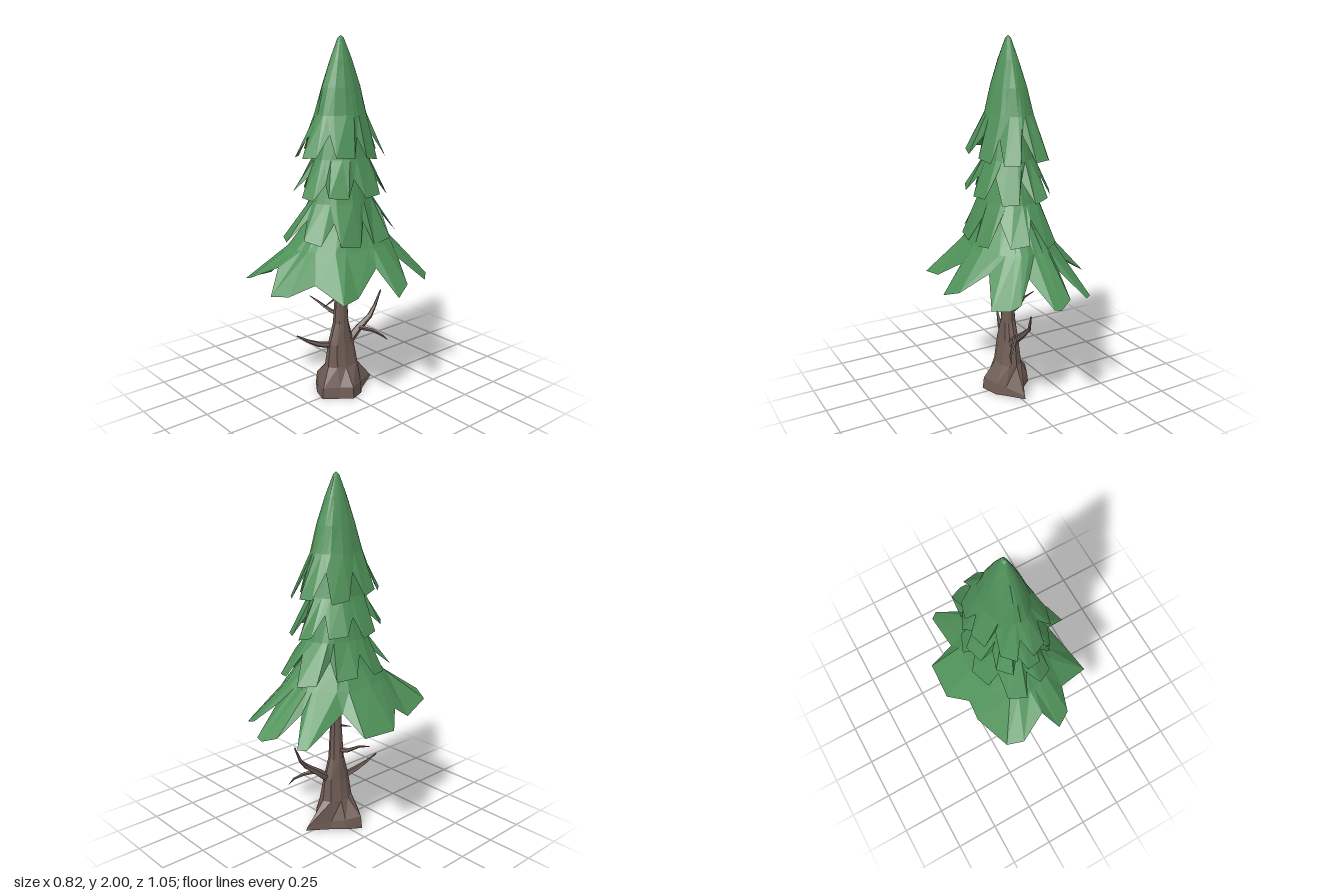
import * as THREE from 'three';

const needles = new THREE.MeshStandardMaterial({ color: 0x4f9159, flatShading: true, side: THREE.DoubleSide });
needles.name = 'needle green';
const bark = new THREE.MeshStandardMaterial({ color: 0x6f5c55, flatShading: true, side: THREE.DoubleSide });
bark.name = 'bark brown';

// Repeatable variation in the range -1..1
const vary = (n) => Math.sin(n * 12.9898 + 4.1) * Math.cos(n * 7.233);

// Joins rings of points (top ring first) below a closing point, with an optional closing point at the bottom
function loft(rings, top, bottom) {
  const n = rings[0].length, pos = [], index = [];
  rings.forEach((ring) => ring.forEach((p) => pos.push(...p)));
  for (let r = 0; r < rings.length - 1; r++) {
    for (let i = 0; i < n; i++) {
      const j = (i + 1) % n, a = r * n, b = a + n;
      index.push(a + i, a + j, b + j, a + i, b + j, b + i);
    }
  }
  const cap = (point, start, flip) => {
    const c = pos.length / 3;
    pos.push(...point);
    for (let i = 0; i < n; i++) {
      const j = (i + 1) % n;
      index.push(c, start + (flip ? i : j), start + (flip ? j : i));
    }
  };
  cap(top, 0, false);
  if (bottom) cap(bottom, (rings.length - 1) * n, true);
  const g = new THREE.BufferGeometry();
  g.setAttribute('position', new THREE.Float32BufferAttribute(pos, 3));
  g.setIndex(index);
  const flat = g.toNonIndexed();
  flat.computeVertexNormals();
  return flat;
}

function addMesh(parent, name, geometry, material) {
  const m = new THREE.Mesh(geometry, material);
  m.name = name;
  parent.add(m);
}

// Elliptical ring that follows the angles of an outline
const ringFor = (outline, [rx, rz, y], seed) => outline.map(([x, , z], i) => {
  const a = Math.atan2(z, x), k = 1 + 0.05 * vary(i + seed);
  return [Math.cos(a) * rx * k - 0.011, y, Math.sin(a) * rz * k];
});

// Jagged hem: each bough has two tip corners and one notch
function hem(teeth, phase, seed, notch, tip) {
  const points = [];
  for (let t = 0; t < teeth; t++) {
    [[0, notch], [0.25, tip], [0.75, tip]].forEach(([f, [rx, rz, y]], k) => {
      const a = phase + ((t + f + 0.08 * vary(t + seed)) / teeth) * Math.PI * 2;
      const s = 1 + 0.08 * vary(t * 3 + k + seed);
      points.push([Math.cos(a) * rx * s - 0.01, y + 0.025 * vary(t * 5 + k + seed), Math.sin(a) * rz * s]);
    });
  }
  return points;
}

// Tapered crooked branch
function branch(points, radius) {
  const path = points.map((p) => new THREE.Vector3(...p));
  const rings = path.map((p, i) => {
    const dir = path[Math.min(i + 1, path.length - 1)].clone().sub(path[Math.max(i - 1, 0)]).normalize();
    const u = new THREE.Vector3(0.3, 1, 0.2).cross(dir).normalize();
    const v = dir.clone().cross(u);
    const r = radius * (1 - 0.85 * i / (path.length - 1));
    return Array.from({ length: 5 }, (_, k) => {
      const a = k / 5 * Math.PI * 2;
      return p.clone().addScaledVector(u, Math.cos(a) * r).addScaledVector(v, Math.sin(a) * r).toArray();
    });
  });
  return loft(rings, points[0], points[points.length - 1]);
}

export function createModel() {
  const tree = new THREE.Group();
  tree.name = 'pineTree';

  // Trunk with flared roots, open underneath
  const roots = [[0, 0.02, -0.22], [0.06, 0, -0.1], [0.1, 0, -0.06], [0.14, 0.01, 0.03], [0.08, 0, 0.08],
    [0.02, 0, 0.16], [-0.07, 0, 0.13], [-0.17, 0, 0.06], [-0.13, 0.01, -0.03], [-0.06, 0, -0.08]];
  const rootTops = roots.map(([x, , z], i) => [x * 0.95, i === 0 ? 0.035 : 0.06 + 0.02 * vary(i), z * 0.96]);
  const trunkRings = [[0.02, 0.025, 0.95], [0.025, 0.03, 0.8], [0.03, 0.035, 0.6], [0.04, 0.048, 0.42],
    [0.053, 0.082, 0.3], [0.075, 0.1, 0.17]].map((r, i) => ringFor(roots, r, i * 3));
  addMesh(tree, 'trunk', loft([...trunkRings, rootTops, roots], [-0.011, 0.95, 0]), bark);

  // Bare branches
  const branches = new THREE.Group();
  branches.name = 'bareBranches';
  tree.add(branches);
  [
    ['rightBranch', 0.016, [[-0.01, 0.46, 0], [-0.08, 0.47, 0.02], [-0.15, 0.51, 0.05], [-0.22, 0.53, 0.06]]],
    ['frontBranch', 0.022, [[-0.02, 0.28, 0.03], [-0.04, 0.31, 0.14], [-0.06, 0.34, 0.2], [-0.08, 0.38, 0.26]]],
    ['backBranch', 0.028, [[0, 0.27, -0.02], [0, 0.35, -0.12], [0.01, 0.41, -0.2], [0, 0.46, -0.25], [0.01, 0.55, -0.285]]],
    ['backTwig', 0.014, [[0.01, 0.36, -0.12], [0.06, 0.34, -0.18], [0.1, 0.31, -0.22], [0.11, 0.28, -0.25]]],
    ['frontTwig', 0.012, [[0, 0.61, 0], [0.02, 0.58, 0.07], [0.02, 0.55, 0.15]]],
    ['upperTwig', 0.012, [[-0.01, 0.71, 0], [-0.07, 0.68, 0.08], [-0.15, 0.685, 0.19]]],
  ].forEach(([name, r, points]) => addMesh(branches, name, branch(points, r), bark));

  // Three upper tiers of boughs
  const foliage = new THREE.Group();
  foliage.name = 'foliage';
  tree.add(foliage);
  const tiers = [
    ['topTier', hem(8, 0.1, 1, [0.15, 0.19, 1.5], [0.2, 0.265, 1.38]),
      [[0.014, 0.018, 1.985], [0.05, 0.062, 1.88], [0.088, 0.115, 1.74], [0.12, 0.155, 1.6]], 2],
    ['upperMiddleTier', hem(8, 0.2, 5, [0.16, 0.205, 1.27], [0.21, 0.28, 1.175]),
      [[0.08, 0.1, 1.56], [0.13, 0.16, 1.37]], 1.62],
    ['lowerMiddleTier', hem(8, 0, 9, [0.18, 0.235, 1.055], [0.24, 0.32, 0.94]),
      [[0.1, 0.12, 1.33], [0.15, 0.19, 1.14]], 1.4],
  ];
  tiers.forEach(([name, outline, rings, apex], i) => {
    const body = rings.map((r, k) => ringFor(outline, r, i * 7 + k));
    addMesh(foliage, name, loft([...body, outline], [-0.01, apex, 0]), needles);
  });

  // Wide bottom tier with long uneven boughs
  const skirt = [
    [-0.1, 0.70, -0.49], [-0.02, 0.67, -0.53], [0.02, 0.68, -0.525], [0.07, 0.80, -0.36],
    [0.165, 0.70, -0.44], [0.225, 0.68, -0.435], [0.29, 0.67, -0.36], [0.225, 0.81, -0.215],
    [0.365, 0.71, -0.15], [0.41, 0.67, -0.045], [0.28, 0.81, 0], [0.34, 0.70, 0.175],
    [0.36, 0.69, 0.29], [0.18, 0.76, 0.33], [0.14, 0.72, 0.465], [0.055, 0.71, 0.52],
    [-0.01, 0.83, 0.425], [-0.165, 0.75, 0.5], [-0.255, 0.72, 0.465], [-0.325, 0.69, 0.25],
    [-0.32, 0.76, 0.15], [-0.415, 0.69, 0.045], [-0.405, 0.70, -0.16], [-0.26, 0.80, -0.18],
    [-0.265, 0.67, -0.43], [-0.225, 0.67, -0.46], [-0.125, 0.80, -0.345],
  ];
  const skirtRings = [[0.11, 0.13, 1.12], [0.175, 0.215, 1.0], [0.235, 0.3, 0.9]]
    .map((r, k) => ringFor(skirt, r, 20 + k));
  addMesh(foliage, 'bottomTier', loft([...skirtRings, skirt], [-0.01, 1.18, 0]), needles);

  return tree;
}
